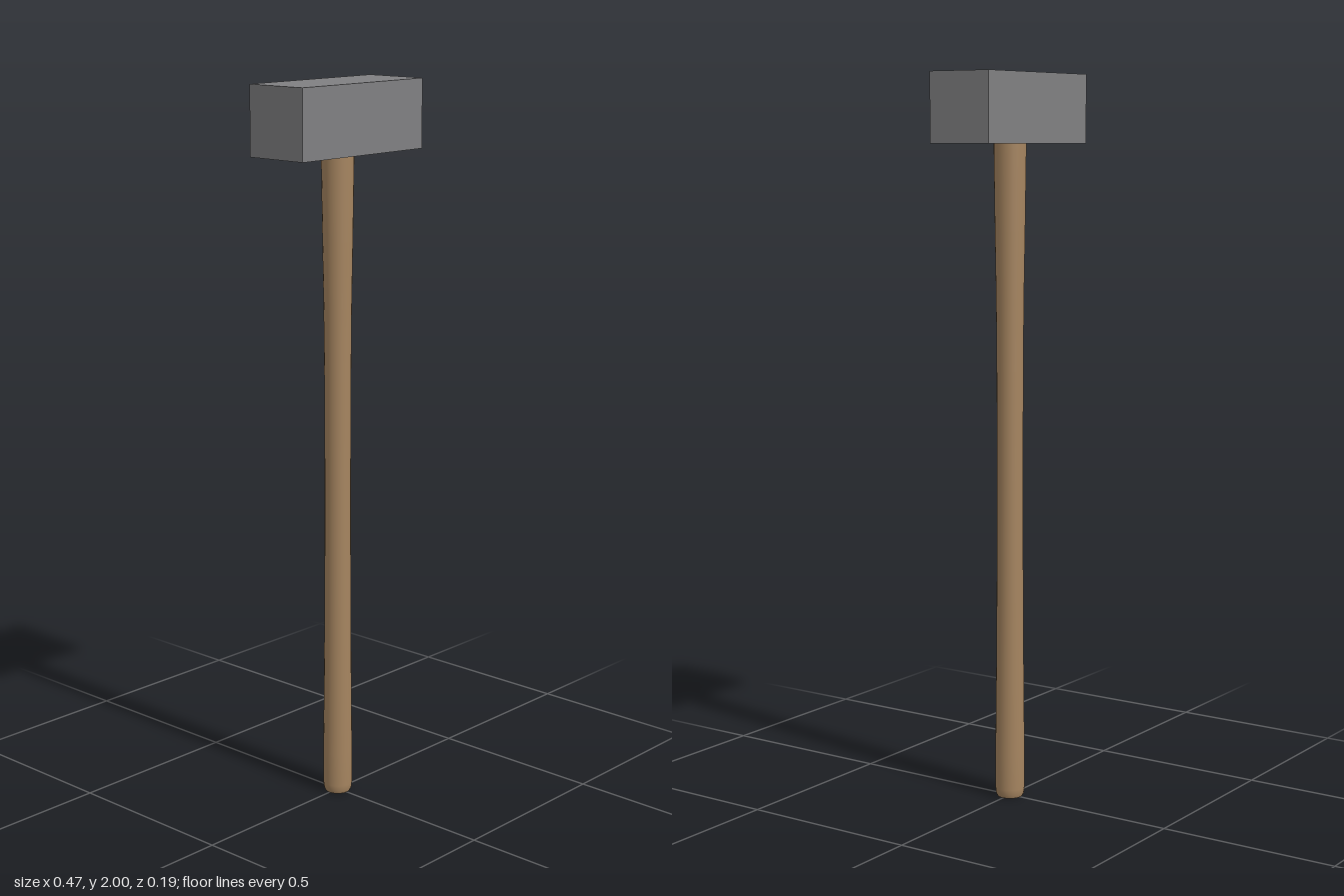
import * as THREE from 'three';

export function createModel() {
  const model = new THREE.Group();
  model.name = 'sledgehammer';

  const steel = new THREE.MeshStandardMaterial({ color: 0x808082 });
  steel.name = 'grey steel';
  const wood = new THREE.MeshStandardMaterial({ color: 0xa68560 });
  wood.name = 'tan wood';

  const add = (name, geometry, material, y) => {
    const mesh = new THREE.Mesh(geometry, material);
    mesh.name = name;
    mesh.position.y = y;
    model.add(mesh);
    return mesh;
  };

  // Plain block head
  add('head', new THREE.BoxGeometry(0.466, 0.187, 0.187), steel, 1.9065);

  // Round handle, slightly waisted, running up into the head
  const profile = [
    [0.035, 0], [0.039, 0.008], [0.041, 0.025], [0.041, 0.12], [0.039, 0.3],
    [0.037, 0.56], [0.036, 0.9], [0.0365, 1.2], [0.038, 1.4], [0.041, 1.58],
    [0.044, 1.8], [0.044, 1.86],
  ].map(([r, y]) => new THREE.Vector2(r, y));
  add('handle', new THREE.LatheGeometry(profile, 24), wood, 0);

  // Flat butt end of the handle
  add('handleButt', new THREE.CircleGeometry(0.035, 24).rotateX(Math.PI / 2), wood, 0);

  return model;
}
